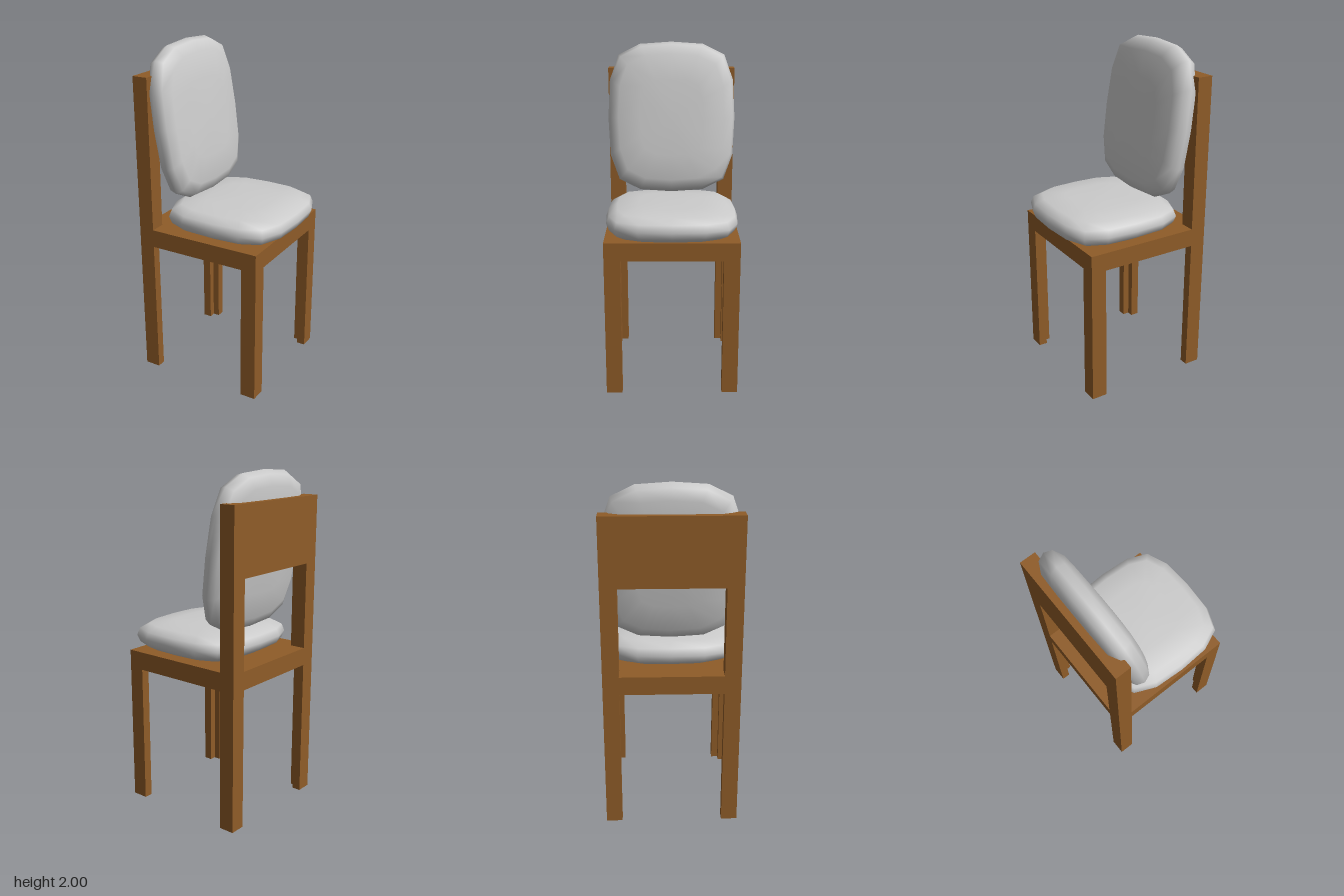
import * as THREE from 'three';
import { mergeVertices } from 'three/addons/utils/BufferGeometryUtils.js';

const wood = new THREE.MeshStandardMaterial({ color: 0x8f5c28 });
const fabric = new THREE.MeshStandardMaterial({ color: 0xcccccc });

const BACK = -0.425, FRONT = 0.355, SIDE = 0.388;
const SEAT_LOW = 0.83, SEAT_TOP = 0.937, POST_TOP = 1.84;
const LEG = 0.093, WALL = 0.052;

function addMesh(parent, name, geometry, material) {
  const mesh = new THREE.Mesh(geometry, material);
  mesh.name = name;
  parent.add(mesh);
  return mesh;
}

function polygon(points) {
  return new THREE.Shape(points.map(([x, y]) => new THREE.Vector2(x, y)));
}

// L-section leg, its outer corner at (x, z) and the notch facing the seat centre
function legGeometry(x, z) {
  const sx = -Math.sign(x), sz = -Math.sign(z);
  const section = [[0, 0], [LEG, 0], [LEG, WALL], [WALL, WALL], [WALL, LEG], [0, LEG]];
  const shape = polygon(section.map(([a, b]) => [x + sx * a, -(z + sz * b)]));
  return new THREE.ExtrudeGeometry(shape, { depth: SEAT_LOW, bevelEnabled: false }).rotateX(-Math.PI / 2);
}

// Pillow: a 16-sided lathe squared off towards a rounded rectangle
function cushionGeometry(halfX, halfY, halfZ) {
  const upper = [[1, 0], [0.96, 0.5], [0.83, 0.85], [0.5, 0.99], [0, 1]];
  const profile = [
    ...upper.slice(1).reverse().map(([r, y]) => new THREE.Vector2(r, -y)),
    ...upper.map(([r, y]) => new THREE.Vector2(r, y)),
  ];
  let geometry = new THREE.LatheGeometry(profile, 16);
  geometry.deleteAttribute('uv');
  geometry.deleteAttribute('normal');
  const p = geometry.attributes.position;
  const square = (c) => c * (1.35 - 0.35 * c * c);
  for (let i = 0; i < p.count; i++) {
    const x = p.getX(i), z = p.getZ(i), r = Math.hypot(x, z);
    if (r < 1e-6) p.setXYZ(i, 0, p.getY(i) * halfY, 0);
    else p.setXYZ(i, square(x / r) * r * halfX, p.getY(i) * halfY, square(z / r) * r * halfZ);
  }
  geometry = mergeVertices(geometry, 1e-4);
  geometry.computeVertexNormals();
  return geometry;
}

export function createModel() {
  const chair = new THREE.Group();
  chair.name = 'chair';

  // Legs
  for (const x of [BACK, FRONT]) {
    for (const z of [-SIDE, SIDE]) {
      addMesh(chair, x > 0 ? 'frontLeg' : 'backLeg', legGeometry(x, z), wood);
    }
  }

  // Seat slab
  const seat = addMesh(chair, 'seat',
    new THREE.BoxGeometry(FRONT - BACK, SEAT_TOP - SEAT_LOW, SIDE * 2), wood);
  seat.position.set((FRONT + BACK) / 2, (SEAT_TOP + SEAT_LOW) / 2, 0);

  // Two posts joined by a broad top panel
  const inner = SIDE - LEG, panelLow = 1.45;
  const arch = polygon([
    [-SIDE, SEAT_TOP], [-inner, SEAT_TOP], [-inner, panelLow], [inner, panelLow],
    [inner, SEAT_TOP], [SIDE, SEAT_TOP], [SIDE, POST_TOP], [-SIDE, POST_TOP],
  ]);
  const back = addMesh(chair, 'backFrame',
    new THREE.ExtrudeGeometry(arch, { depth: LEG, bevelEnabled: false }).rotateY(-Math.PI / 2), wood);
  back.position.x = BACK + LEG;

  // Cushions, the back one leaning on the panel
  const seatCushion = addMesh(chair, 'seatCushion', cushionGeometry(0.375, 0.084, 0.388), fabric);
  seatCushion.position.set(0.05, 1.016, 0);

  const backCushion = addMesh(chair, 'backCushion', cushionGeometry(0.457, 0.088, 0.388), fabric);
  backCushion.position.set(-0.262, 1.546, 0);
  backCushion.rotation.z = THREE.MathUtils.degToRad(-81.7);

  return chair;
}
